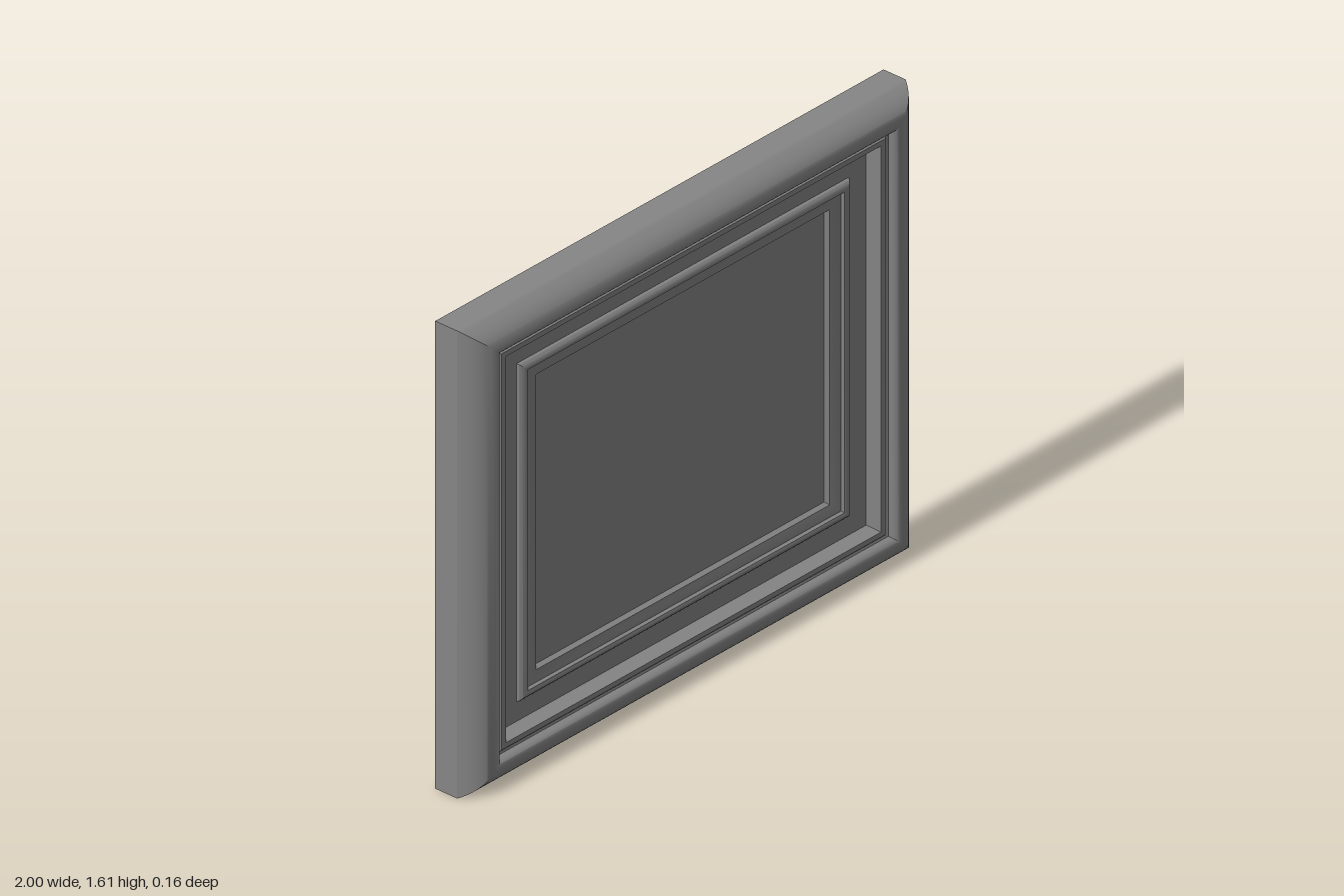
import * as THREE from 'three';
import { toCreasedNormals } from 'three/addons/utils/BufferGeometryUtils.js';

const W = 2, H = 1.61, BACK = -0.08;
const Y_INSET = 0.86; // top and bottom rails are slightly narrower than the stiles
const material = new THREE.MeshStandardMaterial({ color: 0x868686 });

// Four corners of a rectangle inset from the outer edge, counter-clockwise from the front
function corners([inset, z]) {
  const x = W / 2 - inset, y = H / 2 - inset * Y_INSET;
  return [[-x, -y], [x, -y], [x, y], [-x, y]].map(([cx, cy]) => [cx, cy + H / 2, z]);
}

// Mitred moulding: a profile of [inset, z] points swept around the rectangle
function moulding(name, profile) {
  const pos = [];
  for (let i = 0; i < profile.length - 1; i++) {
    const a = corners(profile[i]), b = corners(profile[i + 1]);
    for (let k = 0; k < 4; k++) {
      const n = (k + 1) % 4;
      pos.push(...a[k], ...a[n], ...b[n], ...a[k], ...b[n], ...b[k]);
    }
  }
  const geo = new THREE.BufferGeometry();
  geo.setAttribute('position', new THREE.Float32BufferAttribute(pos, 3));
  const mesh = new THREE.Mesh(toCreasedNormals(geo, 0.5), material);
  mesh.name = name;
  return mesh;
}

// Flat rectangle closing the profile at a given inset
function sheet(name, inset, z, facingBack) {
  const geo = new THREE.PlaneGeometry(W - 2 * inset, H - 2 * inset * Y_INSET);
  if (facingBack) geo.rotateY(Math.PI);
  const mesh = new THREE.Mesh(geo, material);
  mesh.position.set(0, H / 2, z);
  mesh.name = name;
  return mesh;
}

export function createModel() {
  const group = new THREE.Group();
  group.name = 'pictureFrame';

  // Rounded outer shoulder of the frame
  const shoulder = new THREE.CubicBezierCurve(
    new THREE.Vector2(0, 0.008), new THREE.Vector2(0.024, 0.048),
    new THREE.Vector2(0.055, 0.079), new THREE.Vector2(0.105, 0.079)
  ).getPoints(10).map((p) => [p.x, p.y]);

  group.add(moulding('outerFrame', [
    [0, BACK], [0, 0], ...shoulder, [0.112, 0.077],
    // step and small bead at the sight edge
    [0.122, 0.068], [0.128, 0.054], [0.138, 0.052], [0.143, 0.056], [0.163, 0.056],
    [0.172, 0.035], [0.18, 0.012],
  ]));

  group.add(moulding('mat', [[0.18, 0.012], [0.26, 0.012]]));

  // Raised inner fillet around the picture
  group.add(moulding('innerFrame', [
    [0.26, 0.012], [0.263, 0.02], [0.272, 0.027], [0.284, 0.03], [0.294, 0.028],
    [0.299, 0.018], [0.308, 0.018], [0.345, 0.014], [0.355, 0],
  ]));

  group.add(sheet('picturePanel', 0.355, 0, false));
  group.add(sheet('backPanel', 0, BACK, true));
  return group;
}
